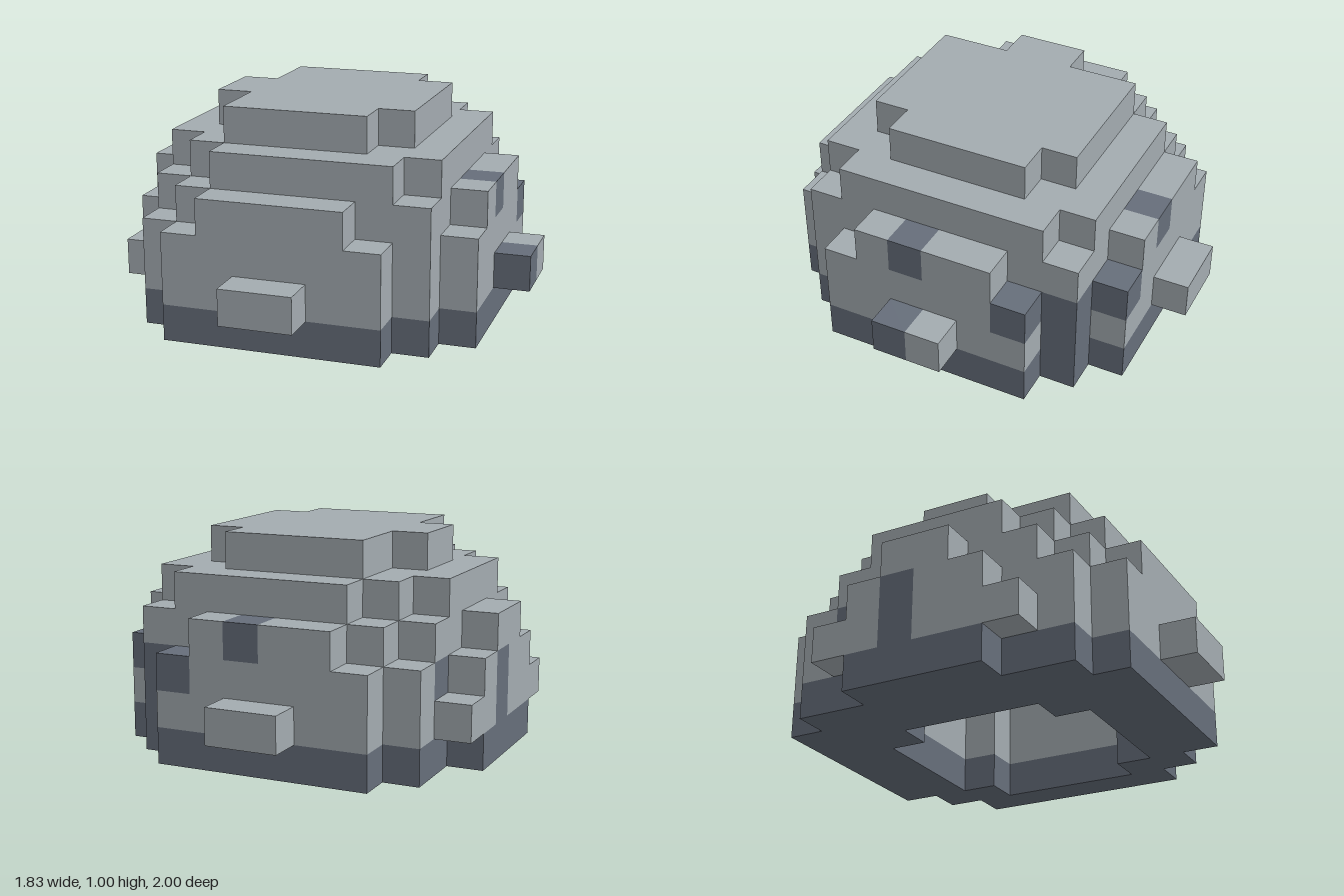
import * as THREE from 'three';
import { mergeGeometries } from 'three/addons/utils/BufferGeometryUtils.js';

const U = 1 / 6; // edge of one block

// Half depth in blocks of every column (x), from the lowest layer to the top
const wide = [2, 4, 5, 5, 5, 5, 5, 5, 4, 3];
const outer = [
  wide, wide, wide,
  [1, 3, 4, 5, 5, 5, 5, 4, 4, 2],
  [0, 2, 3, 4, 4, 4, 4, 4, 3, 0],
  [0, 0, 1, 3, 3, 3, 3, 2, 0, 0],
];
// Half depth of the hollow inside, open at the bottom
const room = [0, 0, 0, 2, 3, 3, 3, 3, 2, 0];
const hollow = [room, room, room, [0, 0, 0, 0, 2, 2, 2, 2, 0, 0]];

// Single blocks: [x, y, z]
const knobs = [[4, 1, 11], [5, 1, 11], [4, 1, 0], [5, 1, 0], [10, 1, 5], [0, 1, 3], [0, 1, 8]];
const darkKnob = [[10, 1, 6]];
const hangingBlock = [[4, 2, 7], [4, 3, 7]];
const patches = [[9, 3, 6], [9, 2, 3], [8, 2, 2], [8, 1, 2], [7, 2, 1], [5, 3, 1],
  [1, 2, 3], [0, 2, 5], [0, 1, 5]];

const inside = (table, x, y, z) => Math.abs(z - 5.5) < (table[y]?.[x] ?? 0);
const key = (x, y, z) => `${x},${y},${z}`;

// Six face directions, each with the turn that points a plane that way
const sides = [
  [1, 0, 0, 0, Math.PI / 2], [-1, 0, 0, 0, -Math.PI / 2],
  [0, 1, 0, -Math.PI / 2, 0], [0, -1, 0, Math.PI / 2, 0],
  [0, 0, 1, 0, 0], [0, 0, -1, 0, Math.PI],
];

export function createModel() {
  const group = new THREE.Group();
  const light = new THREE.MeshStandardMaterial({ color: 0xa3abb0 });
  light.name = 'light stone';
  const dark = new THREE.MeshStandardMaterial({ color: 0x666e7a });
  dark.name = 'dark stone';

  // Gather the blocks of every part
  const blocks = new Map();
  for (let y = 0; y < 6; y++) {
    for (let x = 0; x < 10; x++) {
      for (let z = 0; z < 12; z++) {
        if (inside(outer, x, y, z) && !inside(hollow, x, y, z)) {
          blocks.set(key(x, y, z), { at: [x, y, z], part: y === 0 ? 'baseRing' : 'domeShell' });
        }
      }
    }
  }
  const place = (list, part) => list.forEach((at) => blocks.set(key(...at), { at, part }));
  place(knobs, 'sideKnobs');
  place(darkKnob, 'darkKnob');
  place(hangingBlock, 'hangingBlock');
  place(patches, 'darkPatches');

  // Keep only the exposed faces
  const faces = {};
  for (const { at: [x, y, z], part } of blocks.values()) {
    for (const [dx, dy, dz, rx, ry] of sides) {
      if (blocks.has(key(x + dx, y + dy, z + dz))) continue;
      const face = new THREE.PlaneGeometry(U, U).rotateX(rx).rotateY(ry);
      face.translate((x - 5 + dx / 2) * U, (y + 0.5 + dy / 2) * U, (z - 5.5 + dz / 2) * U);
      (faces[part] ??= []).push(face);
    }
  }

  // One mesh for each part
  const materials = { baseRing: dark, domeShell: light, sideKnobs: light,
    darkKnob: dark, hangingBlock: light, darkPatches: dark };
  for (const [part, list] of Object.entries(faces)) {
    const mesh = new THREE.Mesh(mergeGeometries(list), materials[part]);
    mesh.name = part;
    group.add(mesh);
  }
  return group;
}
